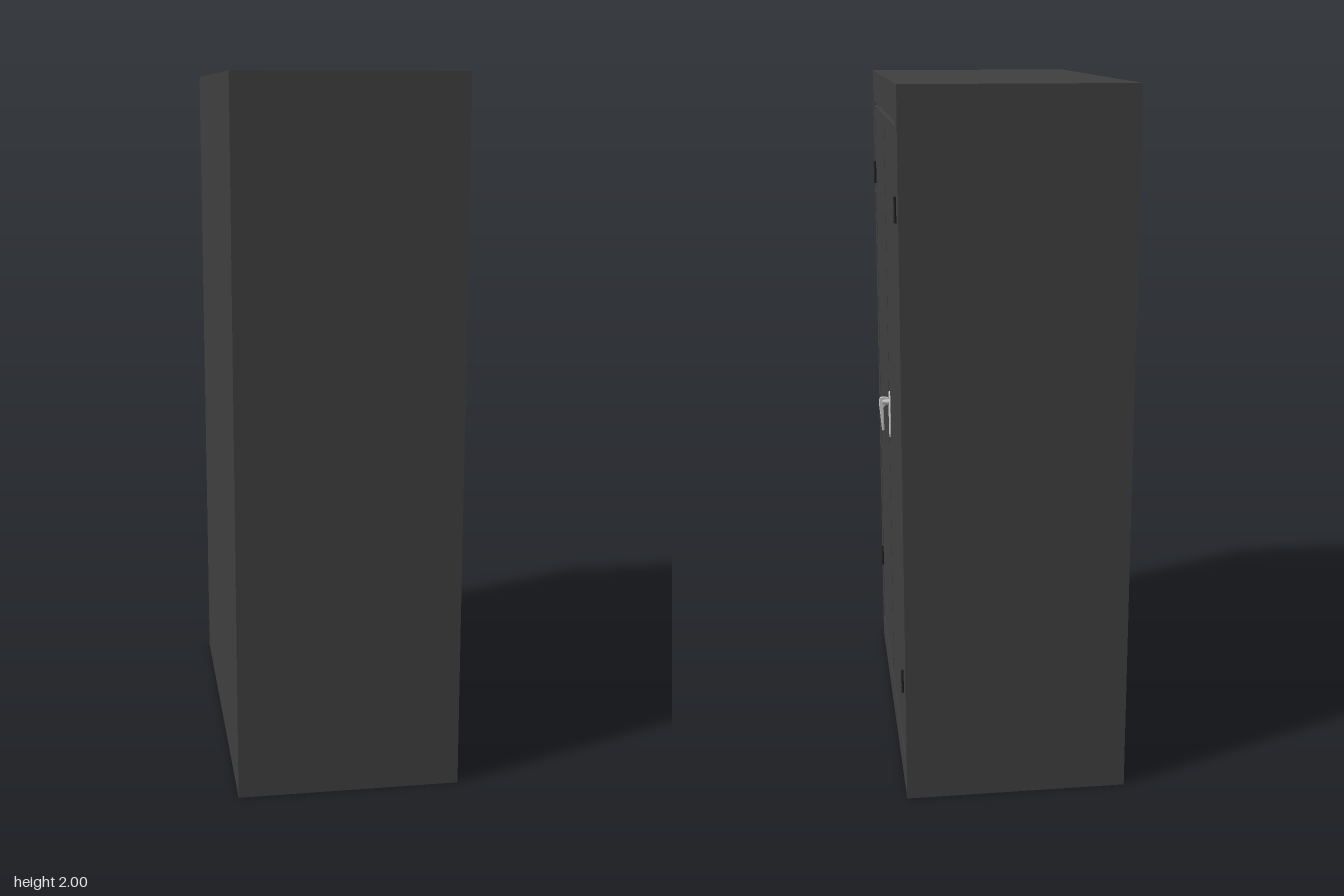
import * as THREE from 'three';

const paint = new THREE.MeshStandardMaterial({ color: 0x404040 });
const dark = new THREE.MeshStandardMaterial({ color: 0x222222 });
const metal = new THREE.MeshStandardMaterial({ color: 0xcccccc });

function add(parent, name, geometry, material, x = 0, y = 0, z = 0) {
  const mesh = new THREE.Mesh(geometry, material);
  mesh.name = name;
  mesh.position.set(x, y, z);
  parent.add(mesh);
  return mesh;
}

function rect(path, x0, y0, x1, y1) {
  path.moveTo(x0, y0);
  path.lineTo(x1, y0);
  path.lineTo(x1, y1);
  path.lineTo(x0, y1);
  path.closePath();
  return path;
}

export function createModel() {
  const model = new THREE.Group();
  model.name = 'cabinet';

  // Everything is built with the doors towards local +z, then turned to +x
  const cabinet = new THREE.Group();
  cabinet.name = 'cabinetBody';
  cabinet.rotation.y = Math.PI / 2;
  model.add(cabinet);

  const back = -0.333, inner = 0.284, front = 0.3, half = 0.585;
  add(cabinet, 'carcass', new THREE.BoxGeometry(half * 2, 2, inner - back), paint, 0, 1, (inner + back) / 2);

  // Front frame around the door opening
  const frame = rect(new THREE.Shape(), -half, 0, half, 2);
  frame.holes.push(rect(new THREE.Path(), -0.511, 0.095, 0.511, 1.902));
  add(cabinet, 'frontFrame', new THREE.ExtrudeGeometry(frame, { depth: front - inner, bevelEnabled: false }), paint, 0, 0, inner);

  // Two doors with narrow gaps, and two hinges on each outer edge
  for (const side of [-1, 1]) {
    const name = side < 0 ? 'leftDoor' : 'rightDoor';
    add(cabinet, name, new THREE.BoxGeometry(0.502, 1.786, 0.015), paint, side * 0.256, 0.998, inner + 0.0075);
    for (const y of [0.33, 1.675]) {
      add(cabinet, 'hinge', new THREE.CylinderGeometry(0.004, 0.004, 0.07, 12), dark, side * 0.507, y, 0.303);
    }
  }

  // Latch handle: tapered plate, pivot and hanging lever
  const handle = new THREE.Group();
  handle.name = 'handle';
  handle.position.set(0.059, 1, front - 0.001);
  cabinet.add(handle);

  const plate = new THREE.Shape();
  plate.moveTo(-0.01, -0.068);
  plate.quadraticCurveTo(0, -0.076, 0.01, -0.068);
  plate.quadraticCurveTo(0.032, 0, 0.01, 0.068);
  plate.quadraticCurveTo(0, 0.076, -0.01, 0.068);
  plate.quadraticCurveTo(-0.032, 0, -0.01, -0.068);
  add(handle, 'handlePlate', new THREE.ExtrudeGeometry(plate, {
    depth: 0.002, bevelThickness: 0.002, bevelSize: 0.002, bevelOffset: -0.002, bevelSegments: 2,
  }), metal);

  const pivot = add(handle, 'handlePivot', new THREE.CylinderGeometry(0.008, 0.01, 0.022, 16), metal, 0, 0.04, 0.012);
  pivot.rotation.x = Math.PI / 2;

  // Lever side profile: x is the distance out from the door
  const lever = new THREE.Shape();
  lever.moveTo(0.004, 0.03);
  lever.lineTo(0.004, 0.052);
  lever.quadraticCurveTo(0.02, 0.06, 0.031, 0.054);
  lever.quadraticCurveTo(0.036, 0.045, 0.032, 0.015);
  lever.lineTo(0.026, -0.048);
  lever.quadraticCurveTo(0.022, -0.054, 0.019, -0.047);
  lever.lineTo(0.02, 0.02);
  lever.quadraticCurveTo(0.018, 0.032, 0.004, 0.03);
  const leverMesh = add(handle, 'handleLever', new THREE.ExtrudeGeometry(lever, {
    depth: 0.004, bevelThickness: 0.002, bevelSize: 0.002, bevelOffset: -0.002, bevelSegments: 2,
  }), metal, 0.002, 0, 0);
  leverMesh.rotation.y = -Math.PI / 2;

  return model;
}
